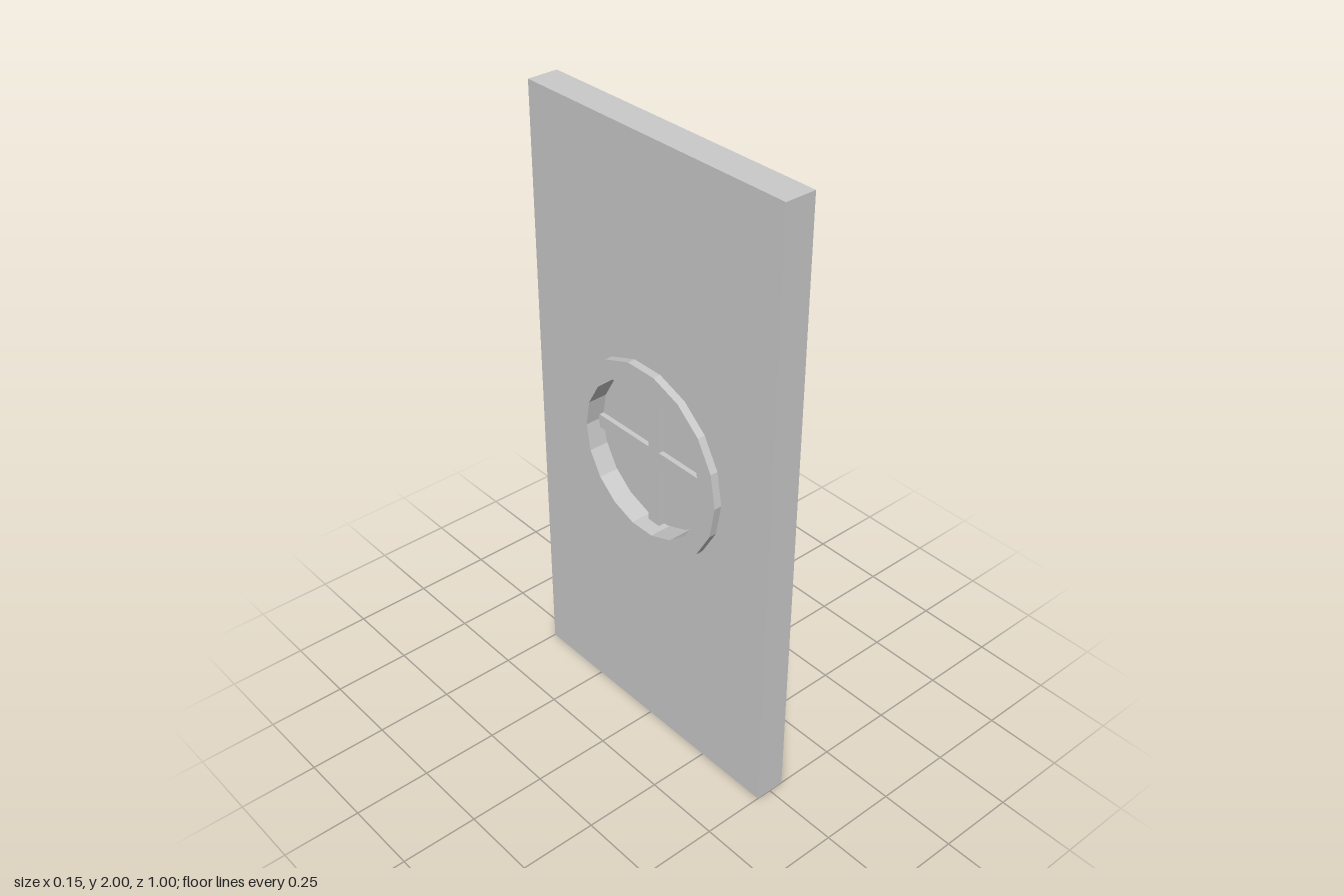
import * as THREE from 'three';

const SIDES = 18;
const CENTER_Y = 1;
const CENTER_Z = -0.006;

// Regular polygon points in the panel's plane
function ringPoints(radius, cx = 0, cy = 0) {
  return Array.from({ length: SIDES }, (_, i) => {
    const a = (i / SIDES) * Math.PI * 2;
    return new THREE.Vector2(cx + radius * Math.cos(a), cy + radius * Math.sin(a));
  });
}

// Extrude a shape symmetrically along x (shape x runs towards -z)
function extrudeX(shape, thickness) {
  const geometry = new THREE.ExtrudeGeometry(shape, { depth: thickness, bevelEnabled: false });
  return geometry.translate(0, 0, -thickness / 2).rotateY(Math.PI / 2);
}

export function createModel() {
  const model = new THREE.Group();
  model.name = 'doorWithRoundWindow';
  const material = new THREE.MeshStandardMaterial({ color: 0xcccccc, flatShading: true });

  function add(parent, name, geometry) {
    const mesh = new THREE.Mesh(geometry, material);
    mesh.name = name;
    parent.add(mesh);
    return mesh;
  }

  // Door slab with the round opening
  const slab = new THREE.Shape([
    new THREE.Vector2(-0.5, 0), new THREE.Vector2(0.5, 0),
    new THREE.Vector2(0.5, 2), new THREE.Vector2(-0.5, 2),
  ]);
  slab.holes.push(new THREE.Path(ringPoints(0.28, -CENTER_Z, CENTER_Y)));
  add(model, 'doorSlab', extrudeX(slab, 0.1));

  const porthole = new THREE.Group();
  porthole.name = 'roundWindow';
  porthole.position.set(0, CENTER_Y, CENTER_Z);
  model.add(porthole);

  // Frame ring standing proud of both faces
  const ring = new THREE.Shape(ringPoints(0.312));
  ring.holes.push(new THREE.Path(ringPoints(0.25)));
  add(porthole, 'windowFrame', extrudeX(ring, 0.15));

  // Pane, set slightly high in the frame
  const pane = add(porthole, 'windowPane', extrudeX(new THREE.Shape(ringPoints(0.25)), 0.024));
  pane.position.y = 0.006;

  // Crossed glazing bars
  add(porthole, 'verticalBar', new THREE.BoxGeometry(0.056, 0.494, 0.047));
  const crossbar = add(porthole, 'horizontalBar', new THREE.BoxGeometry(0.056, 0.045, 0.5));
  crossbar.position.y = -0.005;

  return model;
}
